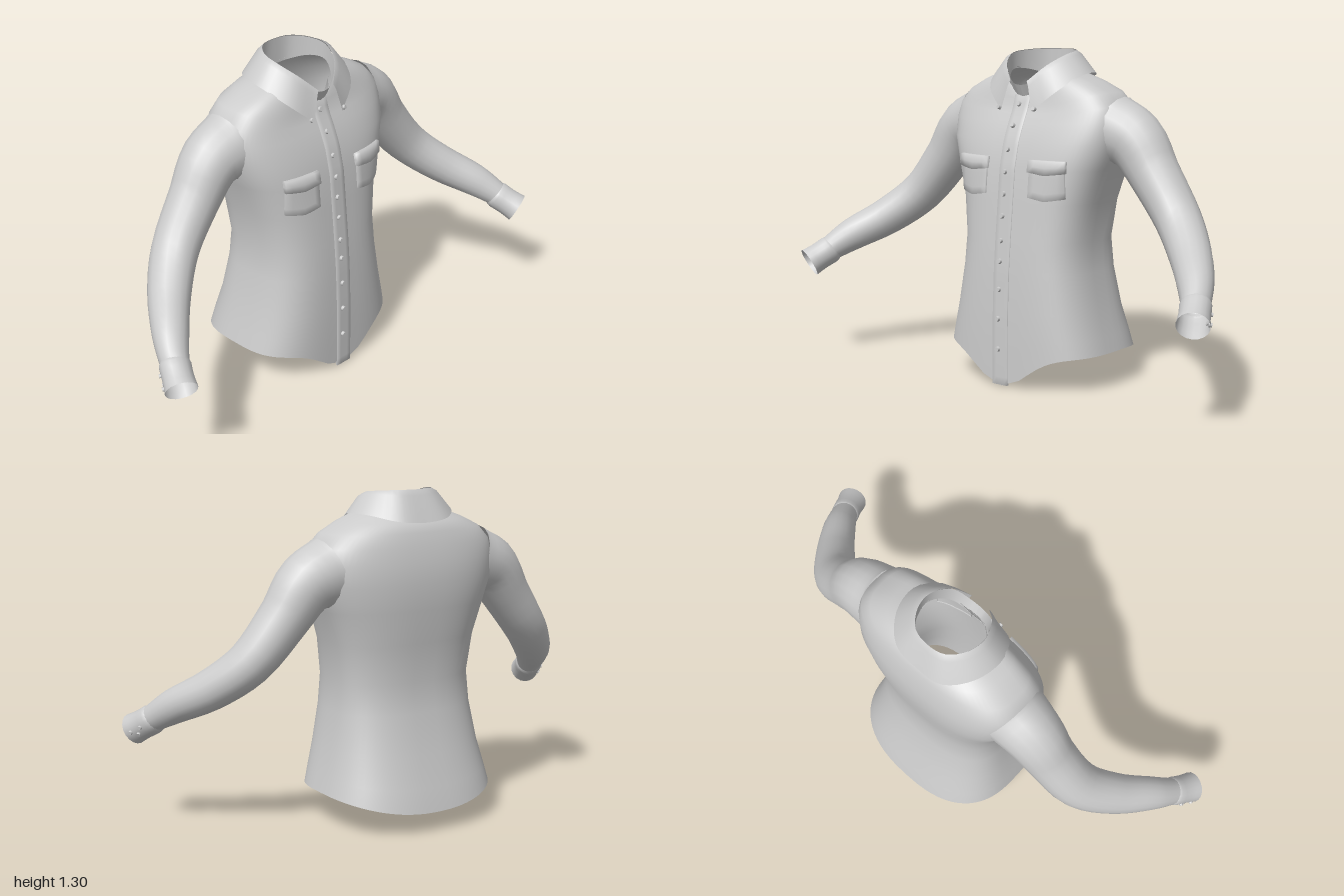
import * as THREE from 'three';

const V = (x, y, z) => new THREE.Vector3(x, y, z);
const cloth = new THREE.MeshStandardMaterial({ color: 0xcccccc, side: THREE.DoubleSide });

// Skin a grid of points: rows[j][i]
function skin(name, rows, closed) {
  const n = rows[0].length, pos = [], idx = [];
  rows.forEach(r => r.forEach(p => pos.push(p.x, p.y, p.z)));
  for (let j = 0; j < rows.length - 1; j++) {
    for (let i = 0; i < (closed ? n : n - 1); i++) {
      const k = (i + 1) % n, a = j * n + i, b = j * n + k;
      idx.push(a, b, b + n, a, b + n, a + n);
    }
  }
  const g = new THREE.BufferGeometry();
  g.setAttribute('position', new THREE.Float32BufferAttribute(pos, 3));
  g.setIndex(idx);
  g.computeVertexNormals();
  const m = new THREE.Mesh(g, cloth);
  m.name = name;
  return m;
}

// Torso rings: y, half width, front z, back z, middle z, front drop, back drop
const RINGS = [
  [0.14, 0.355, 0.20, -0.36, -0.08, 0.14, 0.06],
  [0.20, 0.340, 0.20, -0.338, -0.08, 0.08, 0.03],
  [0.30, 0.315, 0.198, -0.30, -0.08, 0.03, 0.01],
  [0.45, 0.288, 0.19, -0.265, -0.08, 0, 0],
  [0.57, 0.28, 0.18, -0.25, -0.08, 0, 0],
  [0.72, 0.302, 0.165, -0.266, -0.085, 0, 0],
  [0.85, 0.345, 0.152, -0.284, -0.09, 0, 0],
  [0.95, 0.382, 0.128, -0.289, -0.09, 0, 0],
  [1.03, 0.388, 0.098, -0.282, -0.09, 0.01, 0],
  [1.09, 0.375, 0.080, -0.268, -0.09, 0.035, 0],
  [1.14, 0.33, 0.068, -0.255, -0.085, 0.06, 0],
  [1.18, 0.25, 0.060, -0.238, -0.07, 0.07, 0.01],
  [1.21, 0.17, 0.055, -0.215, -0.06, 0.085, 0.02],
  [1.225, 0.13, 0.050, -0.19, -0.06, 0.095, 0.025],
];
const EF = 0.6, EB = 0.78;

function torso() {
  const N = 64;
  const rows = RINGS.map(([y, w, zf, zb, zc, df, db], j) => {
    const row = [];
    for (let i = 0; i < N; i++) {
      const a = i / N * Math.PI * 2, c = Math.cos(a), s = -Math.sin(a), e = s > 0 ? EF : EB;
      const u = Math.sign(c) * Math.abs(c) ** e, d = Math.abs(s) ** e;
      const fall = j < 3 ? Math.exp(-((u / 0.48) ** 2)) * d : 1 - u * u;
      row.push(s > 0 ? V(u * w, y - df * fall, zc + (zf - zc) * d)
        : V(u * w, y - db * (1 - u * u), zc + (zb - zc) * d));
    }
    return row;
  });
  return skin('shirtBody', rows, true);
}

// Depth of the shirt front at x, y
function frontZ(x, y) {
  let j = 0;
  const fy = r => r[0] - r[5];
  while (j < RINGS.length - 2 && fy(RINGS[j + 1]) < y) j++;
  const A = RINGS[j], B = RINGS[j + 1];
  const t = THREE.MathUtils.clamp((y - fy(A)) / (fy(B) - fy(A)), 0, 1);
  const [w, zf, , zc] = [1, 2, 3, 4].map(k => A[k] + (B[k] - A[k]) * t);
  return zc + (zf - zc) * Math.max(0, 1 - Math.abs(x / w) ** (2 / EF)) ** (EF / 2);
}

// Raised panel following the shirt front, its rim turned back to the cloth
function panel(name, x0, x1, y0, y1, off, nx, ny, dip = 0) {
  const rows = [];
  for (let j = -1; j <= ny + 1; j++) {
    const row = [];
    for (let i = -1; i <= nx + 1; i++) {
      const u = THREE.MathUtils.clamp(i / nx, 0, 1), v = THREE.MathUtils.clamp(j / ny, 0, 1);
      const rim = i < 0 || j < 0 || i > nx || j > ny;
      const x = x0 + (x1 - x0) * u;
      const y = y0 + (y1 - y0) * v - dip * (1 - v) * (1 - Math.abs(2 * u - 1));
      row.push(V(x, y, frontZ(x, y) + (rim ? -0.004 : off)));
    }
    rows.push(row);
  }
  return skin(name, rows, false);
}

function button(name, p, normal, r = 0.011) {
  const m = new THREE.Mesh(new THREE.CylinderGeometry(r * 0.8, r, 0.012, 10), cloth);
  m.name = name;
  m.position.copy(p);
  m.quaternion.setFromUnitVectors(V(0, 1, 0), normal.clone().normalize());
  return m;
}

// Tube with oval sections; stations: x, y, z, half height, half depth
function tubeRings(stations, steps, sides) {
  const path = new THREE.CatmullRomCurve3(stations.map(s => V(s[0], s[1], s[2])));
  const size = new THREE.CatmullRomCurve3(stations.map(s => V(s[3], s[4], 0)));
  return Array.from({ length: steps + 1 }, (_, j) => {
    const t = j / steps, c = path.getPoint(t), T = path.getTangent(t), r = size.getPoint(t);
    const D = V(0, 0, 1).addScaledVector(T, -T.z).normalize(), U = D.clone().cross(T);
    return Array.from({ length: sides }, (_, i) => {
      const a = i / sides * Math.PI * 2;
      return c.clone().addScaledVector(U, Math.cos(a) * r.x).addScaledVector(D, Math.sin(a) * r.y);
    });
  });
}

function arm() {
  const g = new THREE.Group();
  g.add(skin('sleeve', tubeRings([
    [0.32, 1.0, -0.09, 0.135, 0.13], [0.42, 0.96, -0.092, 0.118, 0.115],
    [0.51, 0.845, -0.085, 0.099, 0.10], [0.64, 0.685, -0.055, 0.086, 0.092],
    [0.755, 0.578, 0.04, 0.078, 0.08], [0.85, 0.505, 0.155, 0.068, 0.066],
    [0.905, 0.447, 0.238, 0.052, 0.052],
  ], 24, 18), true));
  // Cuff with a slightly flared opening
  const cuff = tubeRings([
    [0.895, 0.455, 0.225, 0.05, 0.05], [0.905, 0.443, 0.24, 0.059, 0.057],
    [0.925, 0.419, 0.278, 0.057, 0.056], [0.945, 0.395, 0.318, 0.061, 0.06],
  ], 6, 18);
  g.add(skin('cuff', cuff, true));
  [[3, 15], [5, 15], [4, 14]].forEach(([j, i]) => {
    const mid = cuff[j].reduce((s, p) => s.add(p), V(0, 0, 0)).divideScalar(18);
    g.add(button('cuffButton', cuff[j][i], cuff[j][i].clone().sub(mid), 0.009));
  });
  return g;
}

// Mirror a half outline (back centre to front) and smooth it
function band(half, steps) {
  const pts = half.map(p => V(...p));
  const left = pts.slice(1).map(p => V(-p.x, p.y, p.z)).reverse();
  return new THREE.CatmullRomCurve3([...left, ...pts]).getPoints(steps);
}

function collar() {
  const g = new THREE.Group();
  g.name = 'collar';
  const ridge = [[0, 1.295, -0.19], [0.07, 1.295, -0.175], [0.122, 1.29, -0.11],
    [0.132, 1.28, -0.04], [0.098, 1.24, 0.04], [0.04, 1.18, 0.09]];
  const edge = [[0, 1.175, -0.25], [0.11, 1.185, -0.238], [0.192, 1.207, -0.15],
    [0.212, 1.203, -0.04], [0.165, 1.145, 0.063], [0.075, 1.065, 0.106]];
  const base = [[0, 1.19, -0.19], [0.07, 1.195, -0.18], [0.122, 1.215, -0.115],
    [0.13, 1.215, -0.04], [0.09, 1.165, 0.03], [0.03, 1.12, 0.055]];
  const fold = ridge.map((p, i) => p.map((v, k) => v * 0.72 + edge[i][k] * 0.28 + (k === 1 ? 0.012 : 0)));
  g.add(skin('collarLeaf', [edge, fold, ridge].map(r => band(r, 40)), false));
  // Neckband, closed at the throat
  const top = ridge.map(p => [p[0] * 0.99, p[1] - 0.002, p[2]]);
  top[5] = [0.035, 1.17, 0.078];
  g.add(skin('collarStand', [base.concat([[0, 1.115, 0.06]]), top.concat([[0, 1.163, 0.082]])]
    .map(r => band(r, 48)), false));
  [-1, 1].forEach(s => g.add(button('collarButton', V(s * 0.085, 1.077, 0.105), V(s * 0.2, 0.3, 1), 0.01)));
  return g;
}

export function createModel() {
  const model = new THREE.Group();
  model.name = 'shirt';
  model.add(torso(), collar());

  // Button band down the front
  model.add(panel('placket', -0.04, 0.032, 0.004, 1.125, 0.005, 4, 36));
  [0.145, 0.265, 0.38, 0.49, 0.57, 0.665, 0.75, 0.835, 0.92, 1.01, 1.09].forEach(y => {
    const slope = (frontZ(-0.012, y + 0.02) - frontZ(-0.012, y - 0.02)) / 0.04;
    model.add(button('frontButton', V(-0.012, y, frontZ(-0.012, y) + 0.009), V(0, -slope, 1)));
  });

  // Chest pockets with flaps, and sleeves
  [-1, 1].forEach(s => {
    const half = new THREE.Group();
    half.name = s > 0 ? 'leftSide' : 'rightSide';
    half.add(panel('pocket', 0.105, 0.25, 0.745, 0.875, 0.009, 6, 5, 0.012));
    half.add(panel('pocketFlap', 0.1, 0.255, 0.842, 0.888, 0.016, 6, 2, 0.01));
    half.add(arm());
    half.scale.x = s;
    model.add(half);
  });
  return model;
}
